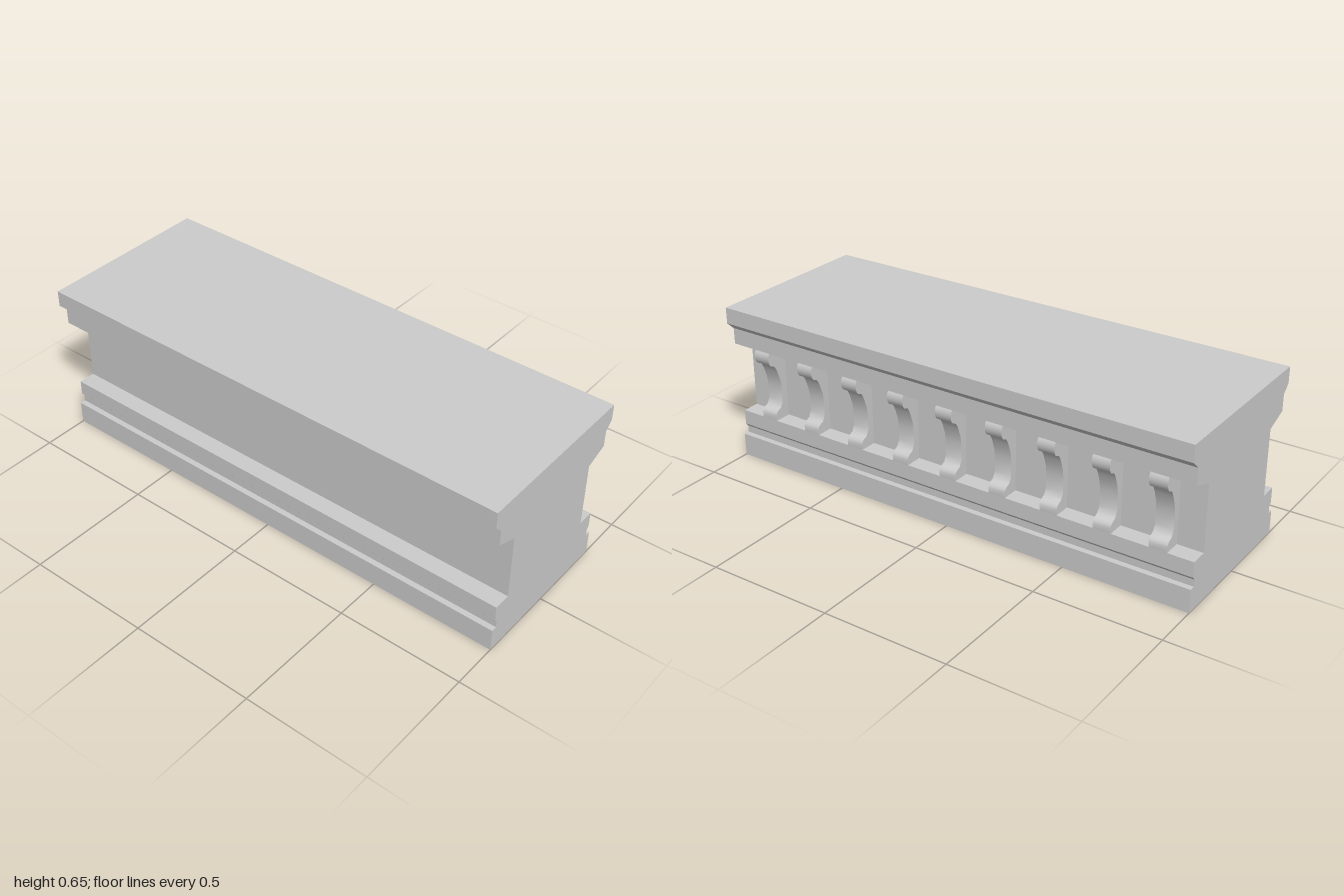
import * as THREE from 'three';
import { toCreasedNormals } from 'three/addons/utils/BufferGeometryUtils.js';

const material = new THREE.MeshStandardMaterial({ color: 0xcccccc });

// Extrudes a (depth, height) profile along x; positive depth points to the back.
function extrudeAlongX(points, width) {
  const shape = new THREE.Shape(points.map(([d, y]) => new THREE.Vector2(d, y)));
  const geometry = new THREE.ExtrudeGeometry(shape, { depth: width, bevelEnabled: false });
  geometry.translate(0, 0, -width / 2);
  geometry.rotateY(Math.PI / 2);
  return geometry;
}

export function createModel() {
  const group = new THREE.Group();

  // Moulded beam: half profile from plinth to cornice, mirrored front to back
  const half = [
    [0.315, 0], [0.315, 0.092], [0.292, 0.092], [0.292, 0.12],
    [0.303, 0.133], [0.303, 0.193], [0.234, 0.193], [0.234, 0.457],
    [0.325, 0.49], [0.325, 0.555], [0.357, 0.585], [0.357, 0.65],
  ];
  const mirrored = half.map(([d, y]) => [-d, y]).reverse();
  const beam = new THREE.Mesh(extrudeAlongX([...half, ...mirrored], 2), material);
  beam.name = 'mouldedBeam';
  group.add(beam);

  // Scroll bracket: rounded foot, hollow shaft and rolled head
  const scroll = [
    [0.23, 0.193], [0.303, 0.193], [0.304, 0.215], [0.300, 0.224], [0.292, 0.232],
    [0.275, 0.240], [0.269, 0.251], [0.263, 0.263], [0.263, 0.325], [0.267, 0.355],
    [0.280, 0.395], [0.287, 0.410], [0.294, 0.422], [0.316, 0.433], [0.322, 0.443],
    [0.325, 0.455], [0.325, 0.467], [0.322, 0.478], [0.316, 0.487], [0.23, 0.457],
  ];
  const bracketGeometry = toCreasedNormals(extrudeAlongX(scroll, 0.07), 0.7);

  // Row of brackets along the back
  const count = 9;
  const brackets = new THREE.Group();
  brackets.name = 'backBrackets';
  for (let i = 0; i < count; i++) {
    const bracket = new THREE.Mesh(bracketGeometry, material);
    bracket.name = `scrollBracket${i + 1}`;
    bracket.position.x = (i - (count - 1) / 2) * 0.216;
    brackets.add(bracket);
  }
  group.add(brackets);

  return group;
}
